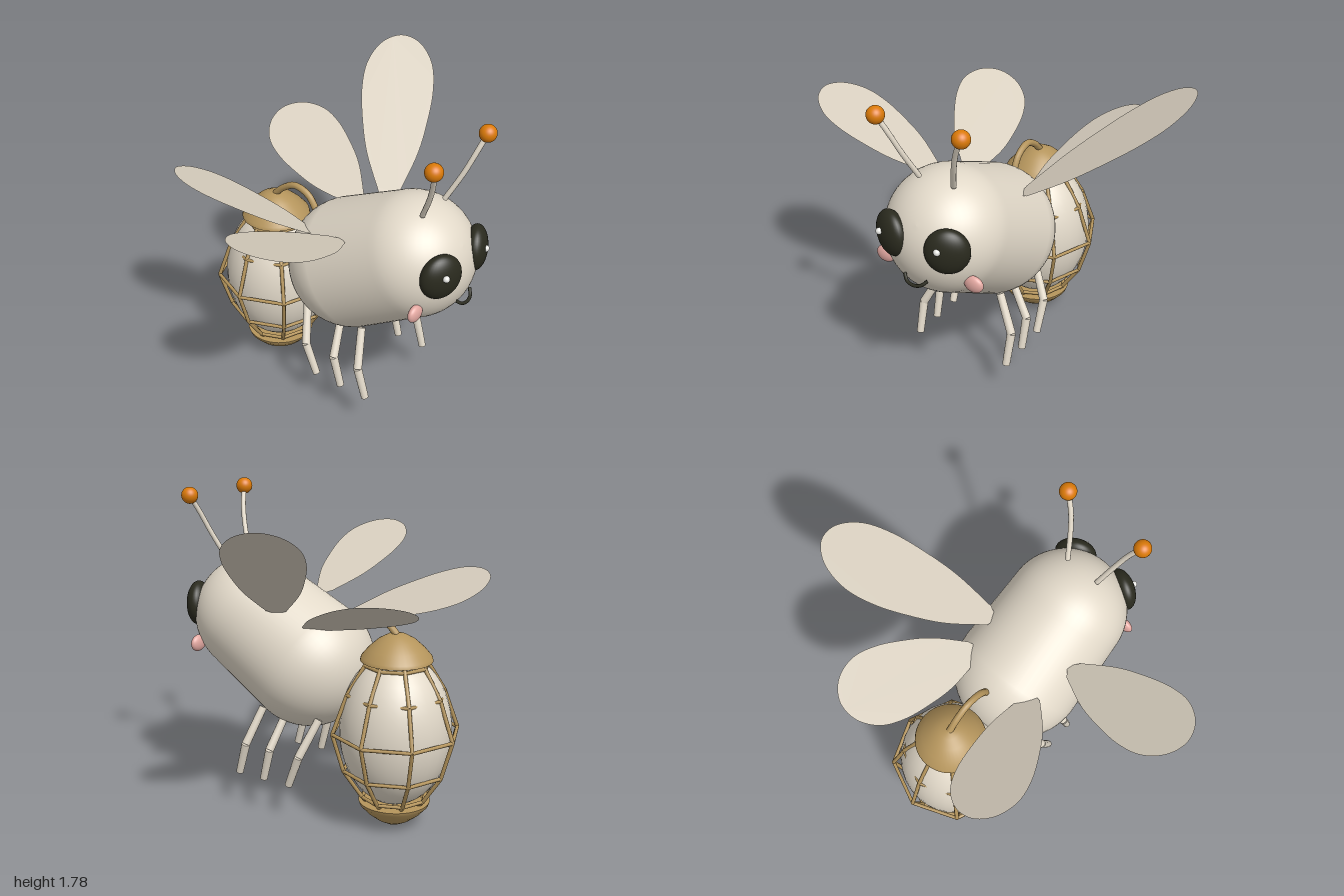
import * as THREE from 'three';

const V = (x, y, z) => new THREE.Vector3(x, y, z);

const paint = (name, color, side = THREE.FrontSide) => {
  const m = new THREE.MeshStandardMaterial({ color, side });
  m.name = name;
  return m;
};

export function createModel() {
  const cream = paint('cream', 0xe2d9c9);
  const wingCream = paint('wing cream', 0xd8cfbf, THREE.DoubleSide);
  const dark = paint('dark', 0x2a2a1e);
  const brass = paint('brass', 0xb5955c);
  const orange = paint('orange', 0xdb7a08);
  const pink = paint('pink', 0xe3a8a1);
  const glint = paint('glint', 0xe8e8e4);

  const model = new THREE.Group();
  model.name = 'lanternBee';

  const add = (name, geometry, material, parent = model) => {
    const mesh = new THREE.Mesh(geometry, material);
    mesh.name = name;
    parent.add(mesh);
    return mesh;
  };
  const group = (name) => {
    const g = new THREE.Group();
    g.name = name;
    model.add(g);
    return g;
  };
  const ball = (name, p, s, material, parent) => {
    const mesh = add(name, new THREE.SphereGeometry(1, 32, 24), material, parent);
    mesh.position.copy(p);
    mesh.scale.copy(s);
    return mesh;
  };
  // straight round bar between two points
  const bar = (name, a, b, ra, rb, material, parent, sides = 12) => {
    const d = b.clone().sub(a);
    const mesh = add(name, new THREE.CylinderGeometry(rb, ra, d.length(), sides), material, parent);
    mesh.position.copy(a).addScaledVector(d, 0.5);
    mesh.quaternion.setFromUnitVectors(V(0, 1, 0), d.normalize());
    return mesh;
  };
  const tube = (name, points, r, material, parent) =>
    add(name, new THREE.TubeGeometry(new THREE.CatmullRomCurve3(points), 24, r, 10), material, parent);
  const lathe = (name, points, material, parent, segments = 40) =>
    add(name, new THREE.LatheGeometry(points.map(([r, y]) => new THREE.Vector2(r, y)), segments), material, parent);

  // Body: tilted capsule, slightly fuller at the tail
  const tail = V(0, 0.835, 0.08), head = V(0, 1.048, 0.46);
  const span = head.clone().sub(tail);
  const length = span.length(), tailR = 0.362, headR = 0.337;
  const outline = [];
  for (let i = 0; i <= 16; i++) {
    const a = -Math.PI / 2 + (i / 16) * Math.PI / 2;
    outline.push([tailR * Math.cos(a), tailR * Math.sin(a)]);
  }
  for (let i = 0; i <= 16; i++) {
    const a = (i / 16) * Math.PI / 2;
    outline.push([headR * Math.cos(a), length + headR * Math.sin(a)]);
  }
  outline[0][0] = outline[outline.length - 1][0] = 0;
  const body = lathe('body', outline, cream, model, 56);
  body.position.copy(tail);
  body.quaternion.setFromUnitVectors(V(0, 1, 0), span.normalize());

  // Face, antennae and legs on both sides
  for (const s of [-1, 1]) {
    const side = s > 0 ? 'left' : 'right';
    const eye = ball(side + 'Eye', V(s * 0.165, 1.11, 0.735), V(0.116, 0.125, 0.064), dark);
    eye.rotation.y = s * 0.46;
    ball(side + 'EyeGlint', V(s > 0 ? 0.15 : -0.2, 1.137, s > 0 ? 0.803 : 0.79), V(0.018, 0.018, 0.018), glint);
    ball(side + 'Cheek', V(s * 0.266, 0.908, 0.66), V(0.055, 0.047, 0.027), pink);

    const antenna = group(side + 'Antenna');
    tube('antennaStalk', [V(s * 0.1, 1.37, 0.57), V(s * 0.15, 1.52, 0.64),
      V(s * 0.19, 1.63, 0.68), V(s * 0.24, 1.73, 0.71)], 0.014, cream, antenna);
    ball('antennaTip', V(s * 0.24, 1.73, 0.71), V(0.046, 0.046, 0.046), orange, antenna);

    // [hip height, hip z, knee z, foot z]
    [[0.58, 0.27, 0.32, 0.37], [0.55, 0.125, 0.155, 0.2], [0.58, -0.105, -0.04, 0.03]].forEach(([y, h, k, f], i) => {
      const leg = group(side + 'Leg' + (i + 1));
      const knee = V(s * 0.285, 0.38, k);
      bar('upperLeg', V(s * 0.185, y, h), knee, 0.022, 0.024, cream, leg);
      bar('lowerLeg', knee, V(s * 0.283, 0.2, f), 0.024, 0.021, cream, leg);
    });
  }
  tube('mouth', [V(-0.07, 0.922, 0.772), V(-0.04, 0.898, 0.795), V(0, 0.89, 0.802),
    V(0.04, 0.898, 0.795), V(0.07, 0.922, 0.772)], 0.009, dark);

  // Wings: flat teardrop sheets set by root, tip and width direction
  const halfWidths = [[0.14, 0.25], [0.182, 0.45], [0.203, 0.65], [0.185, 0.82], [0.11, 0.95]];
  const wing = (name, root, tip, across) => {
    const along = tip.clone().sub(root);
    const L = along.length();
    along.normalize();
    across.addScaledVector(along, -across.dot(along)).normalize();
    const edge = halfWidths.map(([w, t]) => new THREE.Vector2(w, t * L));
    const mirrored = edge.map((p) => new THREE.Vector2(-p.x, p.y)).reverse();
    const shape = new THREE.Shape();
    shape.moveTo(0, -0.03);
    shape.lineTo(0.055, 0.02);
    shape.splineThru([...edge, new THREE.Vector2(0, L), ...mirrored, new THREE.Vector2(-0.055, 0.02)]);
    shape.closePath();
    const mesh = add(name, new THREE.ShapeGeometry(shape, 40), wingCream);
    const normal = across.clone().cross(along);
    mesh.quaternion.setFromRotationMatrix(new THREE.Matrix4().makeBasis(across, along, normal));
    mesh.position.copy(root);
  };
  wing('rightFrontWing', V(-0.27, 1.165, 0.18), V(-1, 1.48, 0.165), V(0, 0, 1));
  wing('leftFrontWing', V(0.24, 1.155, 0.13), V(0.965, 1.735, -0.305), V(0.55, 0.05, 0.84));
  for (const s of [-1, 1]) {
    wing(s > 0 ? 'leftRearWing' : 'rightRearWing',
      V(s * 0.2, 1.08, -0.05), V(s * 0.45, 1.335, -0.78), V(s * 0.37, 0.17, -0.02));
  }

  // Lantern abdomen: glass egg, caps, eight-sided cage and hook
  const lantern = group('lantern');
  lantern.position.z = -0.475;
  ball('lanternGlass', V(0, 0.55, 0), V(0.302, 0.42, 0.302), cream, lantern);
  lathe('lanternTopCap', [[0, 0.935], [0.193, 0.935], [0.193, 0.935], [0.188, 0.955], [0.15, 1.0],
    [0.1, 1.045], [0.05, 1.073], [0, 1.08]], brass, lantern);
  lathe('lanternBottomCap', [[0, 0], [0.04, 0.006], [0.1, 0.04], [0.15, 0.08], [0.188, 0.122],
    [0.195, 0.143], [0.195, 0.143], [0, 0.143]], brass, lantern);

  const rings = [[0.15, 0.14], [0.178, 0.168], [0.283, 0.327], [0.345, 0.54], [0.267, 0.755], [0.172, 0.912], [0.15, 0.94]];
  const corner = ([r, y], i) => V(r * Math.sin(i * Math.PI / 4), y, r * Math.cos(i * Math.PI / 4));
  for (let i = 0; i < 8; i++) {
    rings.forEach((ring, j) => {
      const p = corner(ring, i);
      if (j < rings.length - 1) bar('cageBar', p, corner(rings[j + 1], i), 0.011, 0.011, brass, lantern, 8);
      if (j > 0 && j < rings.length - 1) bar('cageRing', p, corner(ring, i + 1), 0.01, 0.01, brass, lantern, 8);
    });
  }
  tube('lanternHook', [V(0, 1.07, 0), V(0, 1.13, 0.065), V(0, 1.17, 0.15),
    V(0, 1.14, 0.24), V(0, 1.03, 0.31)], 0.019, brass, lantern);

  return model;
}
